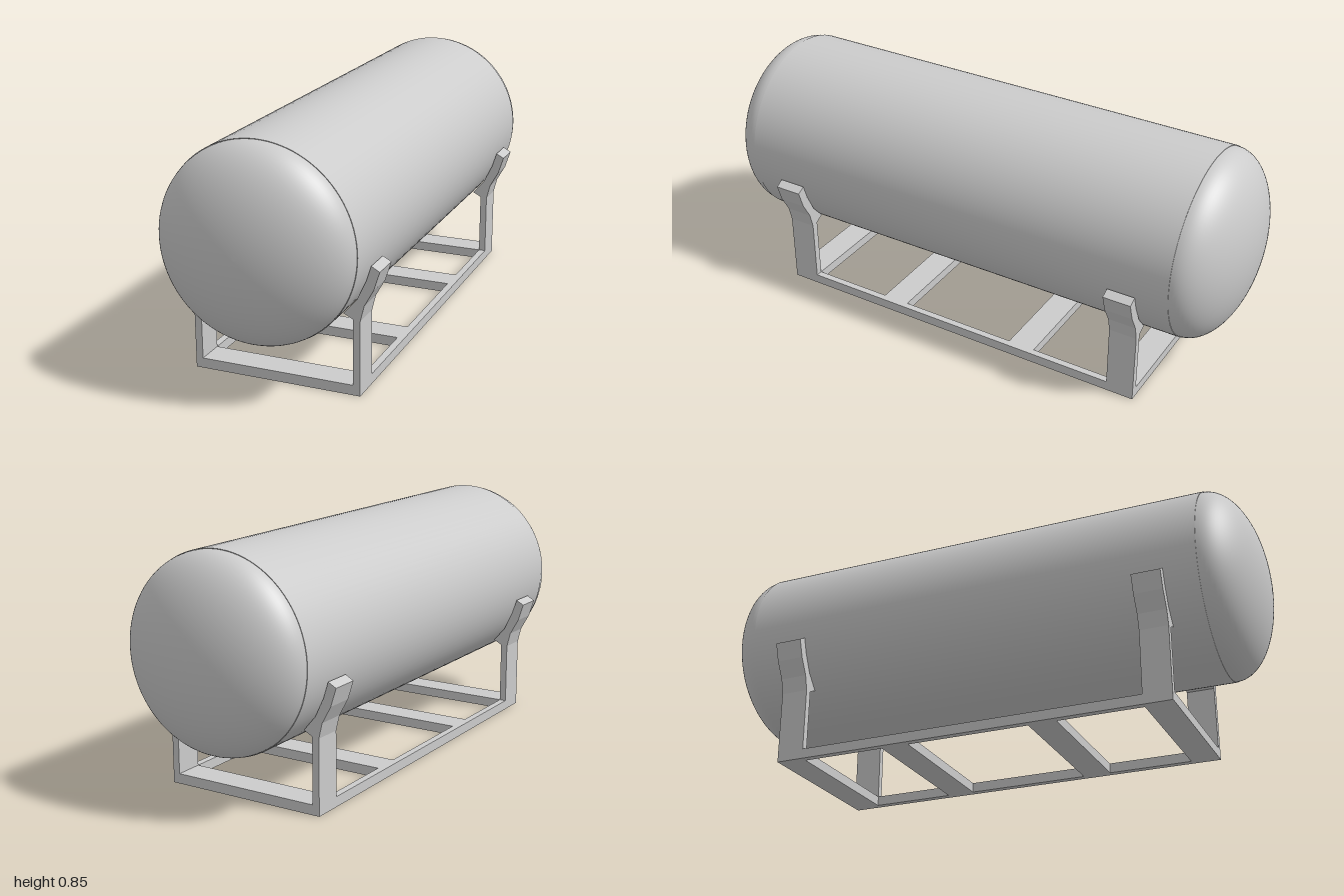
import * as THREE from 'three';

const grey = new THREE.MeshStandardMaterial({ color: 0xcccccc });
const RADIUS = 0.334, AXIS_Y = 0.516, SEAM_Z = 0.835;
const FRAME_X = 0.295, FRAME_Z = 0.72, RAIL_W = 0.025, RAIL_H = 0.035, POST_D = 0.1;

function addMesh(parent, name, geometry, x = 0, y = 0, z = 0) {
  const mesh = new THREE.Mesh(geometry, grey);
  mesh.name = name;
  mesh.position.set(x, y, z);
  parent.add(mesh);
  return mesh;
}

// Half-ellipsoid end cap, bulging along +y before it is turned
function headGeometry() {
  const radius = RADIUS - 0.002, depth = 1 - SEAM_Z, points = [];
  for (let i = 0; i <= 24; i++) {
    const a = (i / 24) * Math.PI / 2;
    points.push(new THREE.Vector2(i === 24 ? 0 : radius * Math.cos(a), depth * Math.sin(a)));
  }
  return new THREE.LatheGeometry(points, 96);
}

// Upright with a flared cradle that hugs the tank, drawn for the +x side
function saddleGeometry(side) {
  const outline = [
    [0.27, 0], [0.295, 0], [0.295, 0.259], [0.308, 0.312], [0.34, 0.37],
    [0.36, 0.433], [0.331, 0.449], [0.314, 0.395], [0.283, 0.33], [0.239, 0.278], [0.27, 0.262],
  ];
  const shape = new THREE.Shape(outline.map(([x, y]) => new THREE.Vector2(side * x, y)));
  const geometry = new THREE.ExtrudeGeometry(shape, { depth: POST_D, bevelEnabled: false });
  return geometry.translate(0, 0, -POST_D / 2);
}

export function createModel() {
  const model = new THREE.Group();
  model.name = 'horizontalTank';

  // Tank shell and domed heads
  const tank = new THREE.Group();
  tank.name = 'tank';
  tank.position.y = AXIS_Y;
  model.add(tank);
  addMesh(tank, 'shell', new THREE.CylinderGeometry(RADIUS, RADIUS, SEAM_Z * 2, 96).rotateX(Math.PI / 2));
  for (const end of [1, -1]) {
    addMesh(tank, end > 0 ? 'frontHead' : 'backHead',
      headGeometry().rotateX(end * Math.PI / 2), 0, 0, end * SEAM_Z);
  }

  // Base frame: two long rails joined by four flat crossbars
  const frame = new THREE.Group();
  frame.name = 'baseFrame';
  model.add(frame);
  for (const side of [1, -1]) {
    addMesh(frame, side > 0 ? 'leftRail' : 'rightRail',
      new THREE.BoxGeometry(RAIL_W, RAIL_H, FRAME_Z * 2),
      side * (FRAME_X - RAIL_W / 2), RAIL_H / 2, 0);
  }
  const endZ = FRAME_Z - POST_D / 2;
  for (const z of [endZ, 0.27, -0.27, -endZ]) {
    addMesh(frame, 'crossbar',
      new THREE.BoxGeometry((FRAME_X - RAIL_W) * 2, RAIL_H, POST_D), 0, RAIL_H / 2, z);
  }

  // Four saddle posts
  for (const z of [endZ, -endZ]) {
    for (const side of [1, -1]) {
      addMesh(model, 'saddlePost', saddleGeometry(side), 0, 0, z);
    }
  }
  return model;
}
